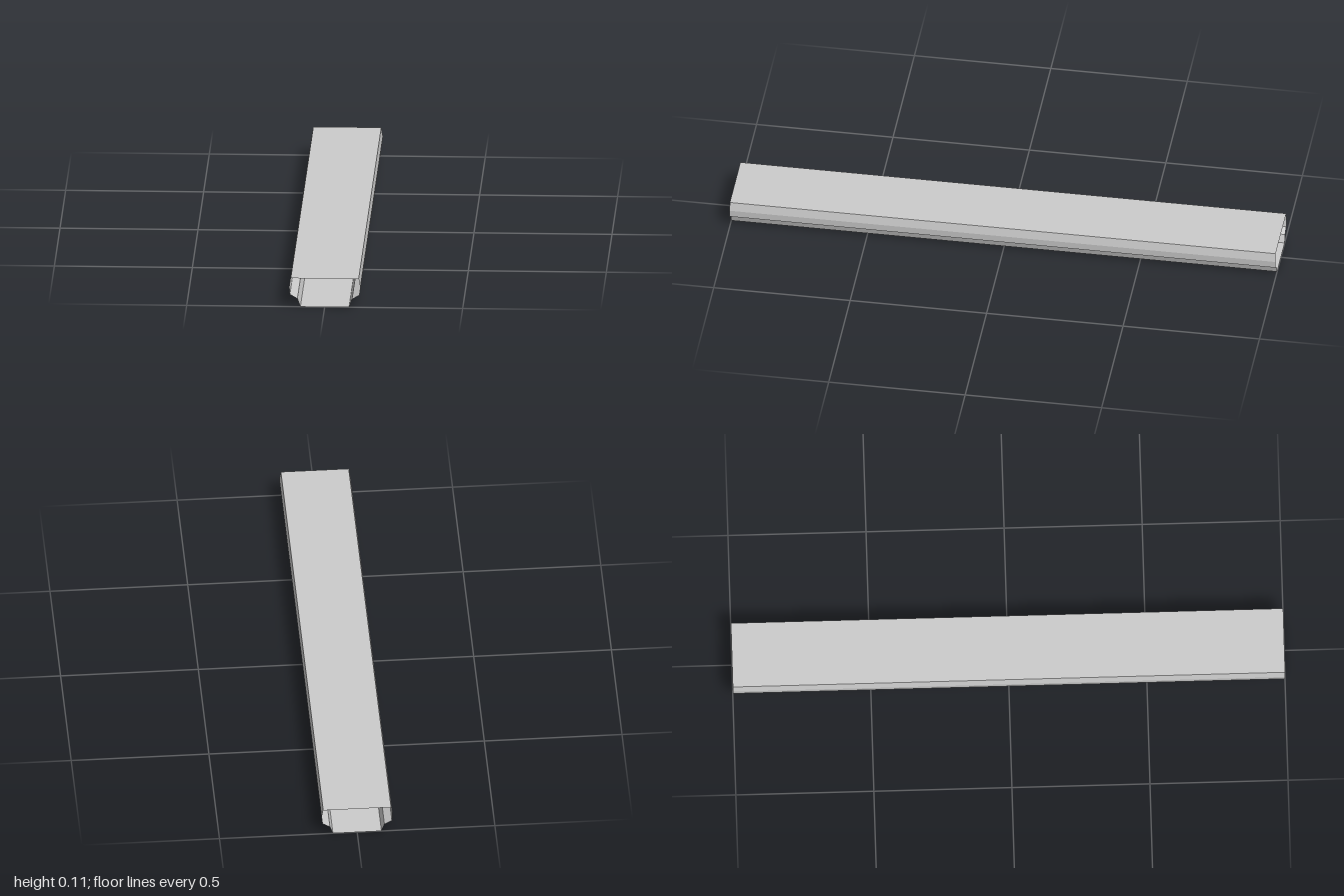
import * as THREE from 'three';

const LENGTH = 2;

// Right half of the cross-section, from the top edge down to the bottom edge
const HALF = [
  [0.123, 0.107],
  [0.129, 0.074],
  [0.126, 0.046],
  [0.099, 0.030],
  [0.088, 0],
];

// Thin open-ended sheet swept along z through a run of cross-section points
function sweep(name, points, material) {
  const pos = [];
  const h = LENGTH / 2;
  for (let i = 0; i < points.length - 1; i++) {
    const [ax, ay] = points[i];
    const [bx, by] = points[i + 1];
    pos.push(ax, ay, h, bx, by, h, bx, by, -h);
    pos.push(ax, ay, h, bx, by, -h, ax, ay, -h);
  }
  const geometry = new THREE.BufferGeometry();
  geometry.setAttribute('position', new THREE.Float32BufferAttribute(pos, 3));
  geometry.computeVertexNormals();
  const mesh = new THREE.Mesh(geometry, material);
  mesh.name = name;
  return mesh;
}

export function createModel() {
  const group = new THREE.Group();
  group.name = 'hollowRail';
  const material = new THREE.MeshStandardMaterial({
    color: 0xcccccc, flatShading: true, side: THREE.DoubleSide,
  });

  const mirrored = HALF.map(([x, y]) => [-x, y]);
  const top = HALF[0];
  const bottom = HALF[HALF.length - 1];

  // Flat top and narrower flat bottom
  group.add(sweep('topPlate', [top, mirrored[0]], material));
  group.add(sweep('bottomPlate', [mirrored[HALF.length - 1], bottom], material));

  // Bulged side walls with the stepped-in ledge
  group.add(sweep('leftWall', [...HALF].reverse(), material));
  group.add(sweep('rightWall', mirrored, material));

  return group;
}
